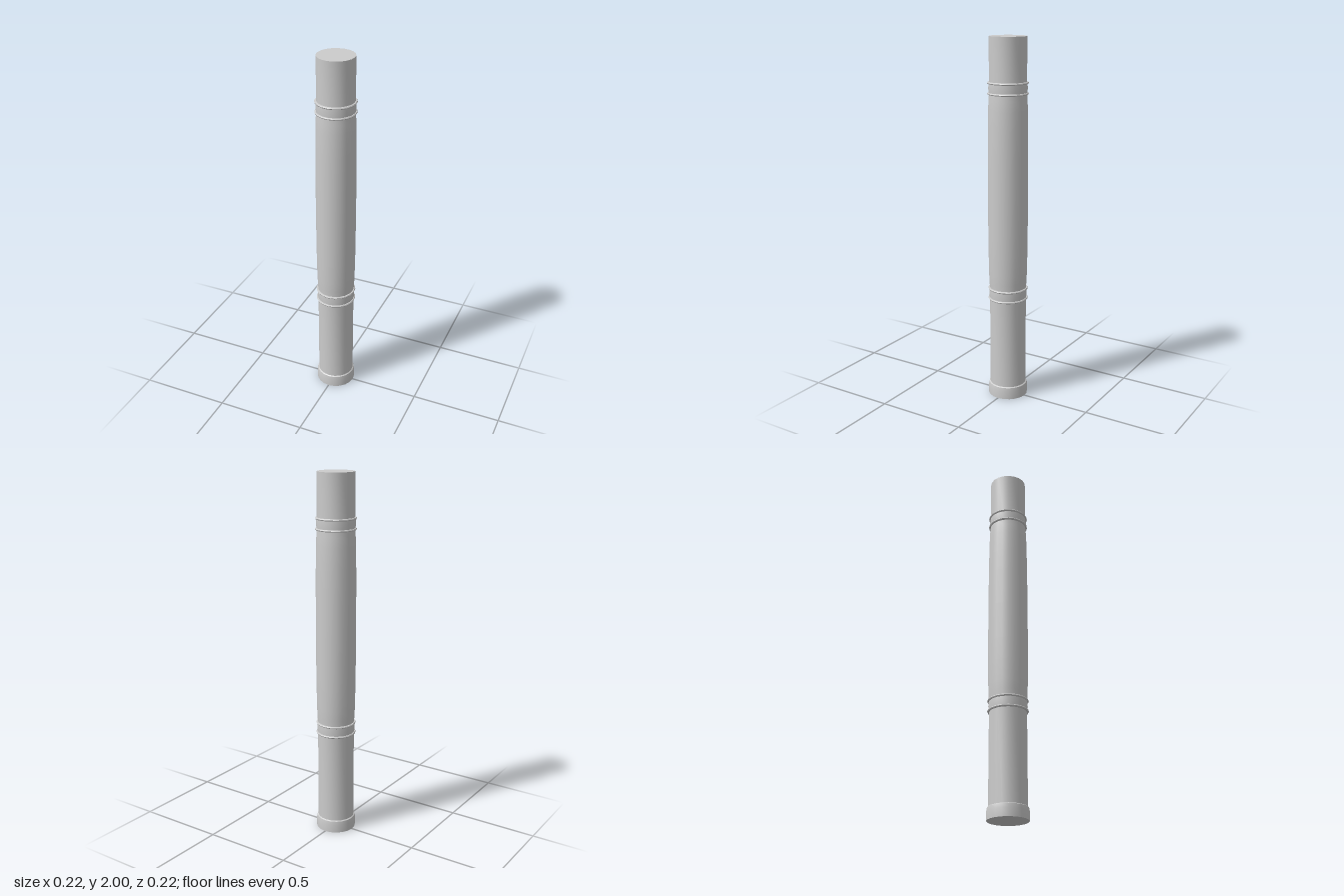
import * as THREE from 'three';
import { toCreasedNormals } from 'three/addons/utils/BufferGeometryUtils.js';

const SIDES = 20;

export function createModel() {
  const model = new THREE.Group();
  model.name = 'turnedBaton';
  const material = new THREE.MeshStandardMaterial({ color: 0xcccccc });

  // Turn a [radius, height] profile (bottom to top) around the y axis
  function turned(name, profile) {
    const points = profile.map(([r, y]) => new THREE.Vector2(r, y));
    const geometry = toCreasedNormals(new THREE.LatheGeometry(points, SIDES), 0.6);
    const mesh = new THREE.Mesh(geometry, material);
    mesh.name = name;
    model.add(mesh);
  }

  // Flared foot with a closed underside
  turned('foot', [[0, 0], [0.109, 0], [0.11, 0.045], [0.106, 0.066], [0.1, 0.07]]);

  // Plain shafts below and above the grip
  turned('lowerShaft', [[0.1, 0.06], [0.1, 0.58]]);
  turned('upperShaft', [[0.1, 1.755], [0.1, 2], [0, 2]]);

  // Gently swelling grip
  turned('grip', [
    [0.1, 0.625], [0.103, 0.67], [0.105, 0.72], [0.107, 0.84], [0.108, 0.96],
    [0.1085, 1.17], [0.108, 1.38], [0.107, 1.5], [0.105, 1.62], [0.103, 1.67], [0.1, 1.71],
  ]);

  // A collar with a thin bead at each edge, at both ends of the grip
  for (const [name, low, high] of [['lower', 0.575, 0.632], ['upper', 1.705, 1.761]]) {
    turned(name + 'Collar', [[0.102, low], [0.104, (low + high) / 2], [0.102, high]]);
    for (const [edge, y] of [['Bottom', low], ['Top', high]]) {
      turned(name + edge + 'Bead', [
        [0.098, y - 0.006], [0.107, y - 0.005], [0.11, y], [0.107, y + 0.005], [0.098, y + 0.006],
      ]);
    }
  }

  return model;
}
